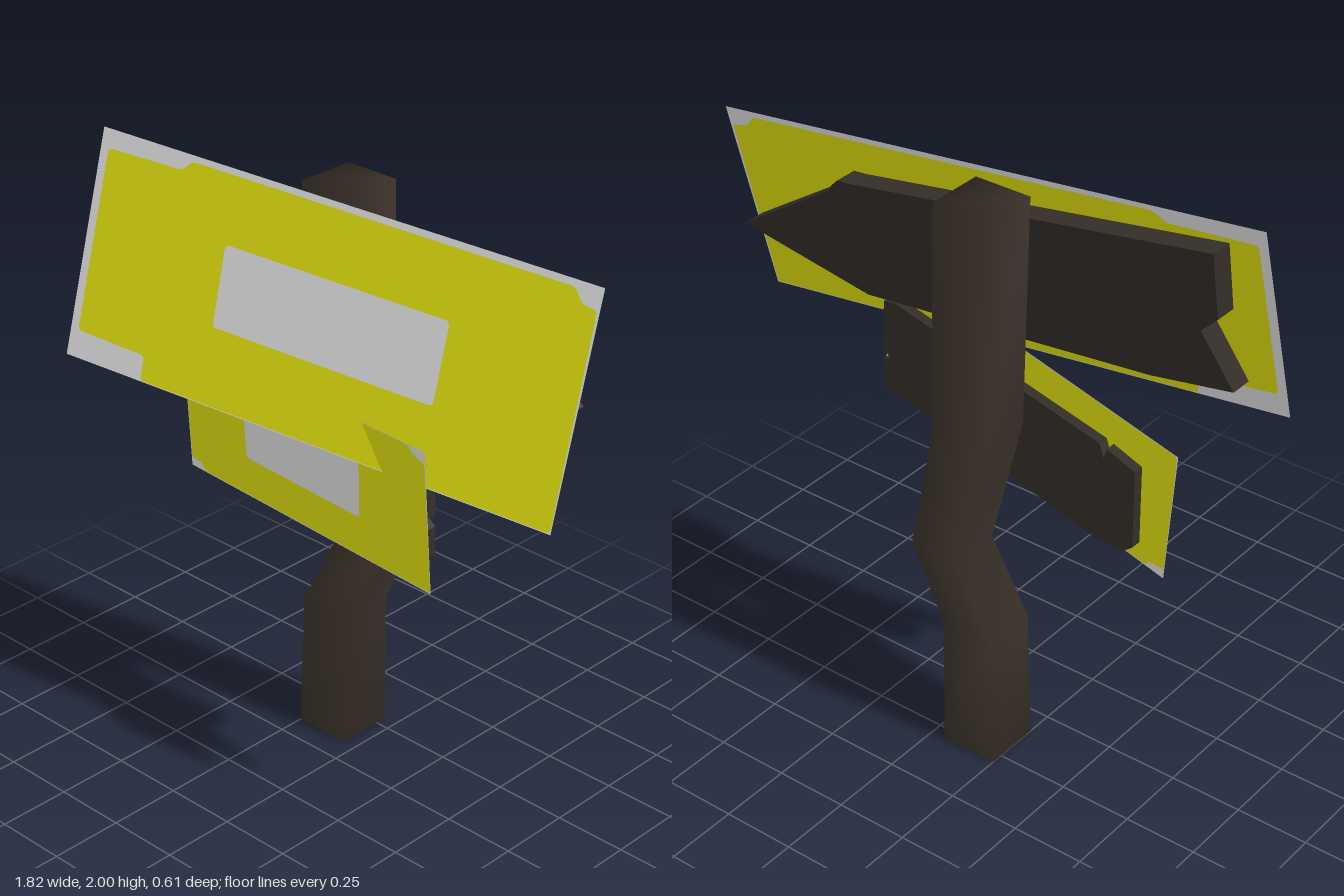
import * as THREE from 'three';
import { mergeVertices } from 'three/addons/utils/BufferGeometryUtils.js';

const material = (name, color, side = THREE.FrontSide) => {
  const m = new THREE.MeshStandardMaterial({ color, side });
  m.name = name;
  return m;
};

// Closed outline with softened corners
function outline(points, r, Type = THREE.Shape) {
  const path = new Type();
  const v = points.map(([x, y]) => new THREE.Vector2(x, y));
  v.forEach((p, i) => {
    const toward = (q) => p.clone().add(q.clone().sub(p).setLength(Math.min(r, q.distanceTo(p) / 2)));
    const a = toward(v[(i + v.length - 1) % v.length]);
    const b = toward(v[(i + 1) % v.length]);
    if (i) path.lineTo(a.x, a.y);
    else path.moveTo(a.x, a.y);
    path.quadraticCurveTo(p.x, p.y, b.x, b.y);
  });
  path.closePath();
  return path;
}

// Lays a flat geometry onto the plane z = a*x + b*y + c, keeping its depth
function tilt(geometry, [a, b, c]) {
  const p = geometry.attributes.position;
  for (let i = 0; i < p.count; i++) p.setZ(i, p.getZ(i) + a * p.getX(i) + b * p.getY(i) + c);
  geometry.computeVertexNormals();
  return geometry;
}

export function createModel() {
  const model = new THREE.Group();
  const postWood = material('postWood', 0x3c332b);
  const boardWood = material('boardWood', 0x342e28);
  const yellow = material('yellowPaint', 0xfafa12, THREE.DoubleSide);
  const white = material('whitePaint', 0xfafafa, THREE.DoubleSide);

  const add = (parent, name, geometry, mat) => {
    const mesh = new THREE.Mesh(geometry, mat);
    mesh.name = name;
    parent.add(mesh);
  };

  // Crooked square post: y, centre x, centre z, width, depth
  const sections = [
    [0, -0.15, -0.19, 0.2, 0.2],
    [0.47, -0.145, -0.195, 0.19, 0.19],
    [0.74, -0.028, -0.215, 0.175, 0.18],
    [1.18, -0.11, -0.188, 0.195, 0.195],
    [1.96, -0.12, -0.183, 0.2, 0.205],
  ];
  const steps = sections.length - 1;
  let post = new THREE.BoxGeometry(1, 1, 1, 1, steps, 1);
  const p = post.attributes.position;
  for (let i = 0; i < p.count; i++) {
    const [y, cx, cz, w, d] = sections[Math.round((p.getY(i) + 0.5) * steps)];
    p.setXYZ(i, cx + p.getX(i) * w, y, cz + p.getZ(i) * d);
  }
  post.deleteAttribute('uv');
  post.deleteAttribute('normal');
  post = mergeVertices(post);
  post.computeVertexNormals();
  add(model, 'post', post, postWood);

  // Split wooden boards; the plane gives the back face
  const board = (name, points, depth, plane) => {
    const shape = new THREE.Shape(points.map(([x, y]) => new THREE.Vector2(x, y)));
    const geometry = new THREE.ExtrudeGeometry(shape, { depth, bevelEnabled: false });
    add(model, name, tilt(geometry, plane), boardWood);
  };
  board('upperArrowBoard', [
    [-0.825, 1.43], [-0.55, 1.4], [0.43, 1.385], [0.85, 1.54], [0.49, 1.775],
    [0.475, 1.8], [0.45, 1.825], [0.41, 1.825], [-0.81, 1.945], [-0.8, 1.7], [-0.74, 1.64],
  ], 0.08, [-0.14, -0.235, 0.332]);
  board('lowerBoard', [
    [-0.68, 0.97], [-0.64, 0.935], [-0.54, 0.92], [0.47, 0.98], [0.47, 1.08], [0.43, 1.1],
    [0.47, 1.12], [0.46, 1.3], [0.4, 1.315], [-0.53, 1.265], [-0.55, 1.22], [-0.56, 1.26], [-0.68, 1.24],
  ], 0.036, [0.2, 0, -0.036]);

  // Thin sheets: white border, yellow field, white label, all in one plane
  const sheet = (name, edge, field, label, plane) => {
    const group = new THREE.Group();
    group.name = name;
    const layer = (part, outer, inner, r, mat) => {
      const shape = outline(outer, r);
      if (inner) shape.holes.push(outline(inner, 0.016, THREE.Path));
      add(group, part, tilt(new THREE.ShapeGeometry(shape, 4), plane), mat);
    };
    layer('border', edge, field, 0.001, white);
    layer('field', field, label, 0.016, yellow);
    layer('label', label, null, 0.016, white);
    model.add(group);
  };
  sheet('upperSheet',
    [[-0.91, 1.28], [0.905, 1.215], [0.905, 1.93], [-0.91, 2]],
    [[-0.88, 1.365], [-0.61, 1.35], [-0.61, 1.272], [0.902, 1.218], [0.896, 1.865],
      [0.845, 1.87], [0.815, 1.912], [-0.555, 1.967], [-0.59, 1.934], [-0.88, 1.94]],
    [[-0.375, 1.5], [0.44, 1.468], [0.44, 1.72], [-0.382, 1.753]],
    [-0.1485, -0.278, 0.521]);
  sheet('lowerSheet',
    [[-0.72, 0.81], [0.56, 0.93], [0.52, 1.39], [-0.76, 1.27]],
    [[-0.72, 0.84], [-0.66, 0.842], [-0.645, 0.82], [0.557, 0.933], [0.518, 1.352],
      [0.465, 1.357], [0.44, 1.38], [-0.756, 1.267]],
    [[-0.4, 0.975], [0.205, 1.03], [0.2, 1.215], [-0.415, 1.16]],
    [0.1836, 0, 0.072]);

  return model;
}
